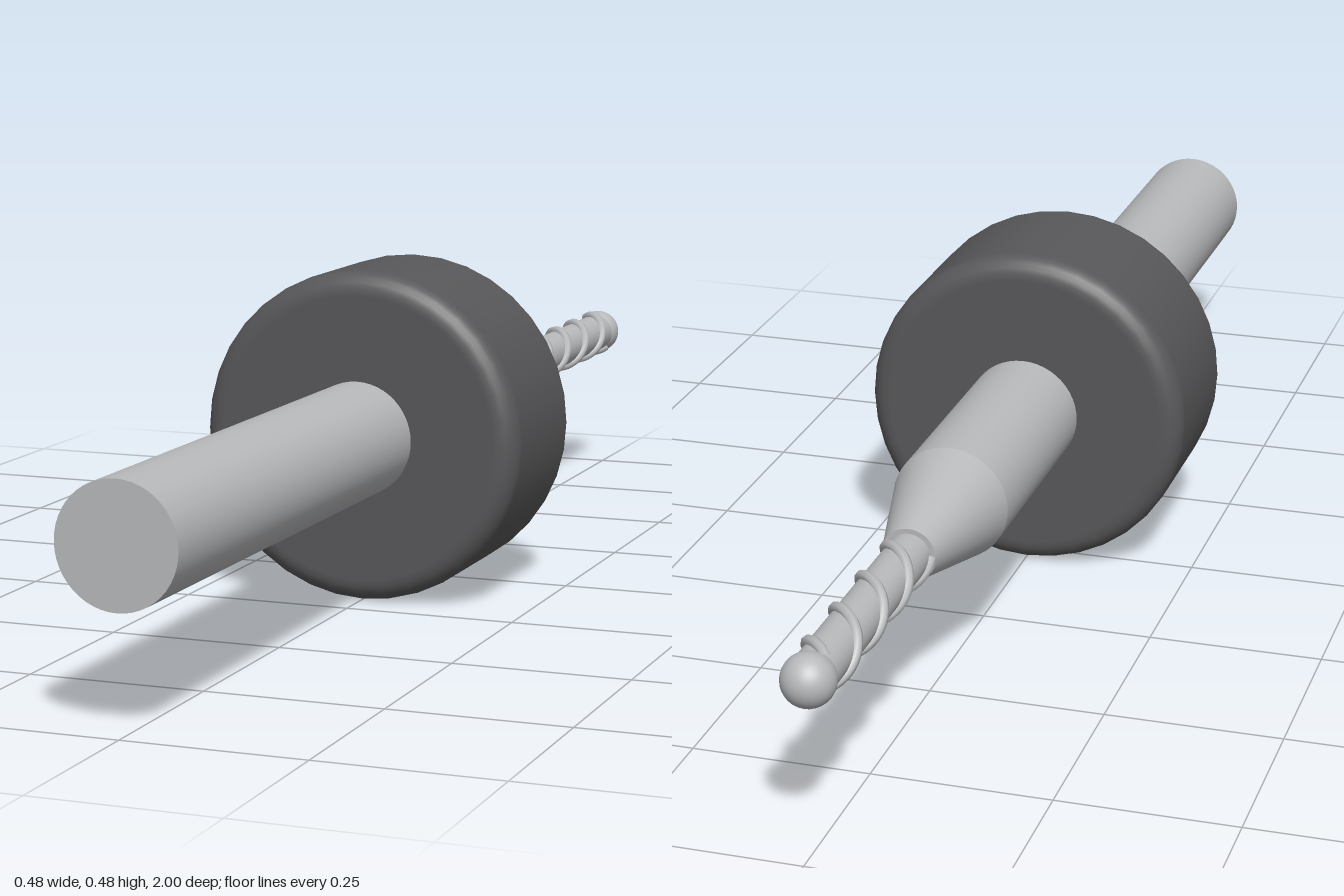
import * as THREE from 'three';

export function createModel() {
  const steel = new THREE.MeshStandardMaterial({ color: 0xb8b9bb });
  steel.name = 'steel';
  const plastic = new THREE.MeshStandardMaterial({ color: 0x58585a });
  plastic.name = 'dark plastic';

  // The tool is built along +y, then laid down so its tip points to -z
  const tool = new THREE.Group();
  tool.name = 'endMill';
  tool.rotation.x = -Math.PI / 2;
  tool.position.y = 0.242;

  const add = (name, geometry, material, y = 0) => {
    const mesh = new THREE.Mesh(geometry, material);
    mesh.name = name;
    mesh.position.y = y;
    tool.add(mesh);
    return mesh;
  };
  const rod = (name, y0, y1, r0, r1) =>
    add(name, new THREE.CylinderGeometry(r1, r0, y1 - y0, 48), steel, (y0 + y1) / 2);

  // Shank, taper and cutter core
  rod('shank', -1, 0.4, 0.083, 0.083);
  rod('taper', 0.4, 0.58, 0.083, 0.038);
  rod('cutterCore', 0.57, 0.965, 0.031, 0.031);
  add('ballTip', new THREE.SphereGeometry(0.036, 32, 20), steel, 0.964);

  // Depth collar with rounded rims
  const R = 0.241, y0 = -0.21, y1 = 0.05, bevel = 0.03;
  const profile = [new THREE.Vector2(0.07, y0), new THREE.Vector2(R - bevel - 0.004, y0)];
  for (const [cy, start] of [[y0 + bevel, -Math.PI / 2], [y1 - bevel, 0]]) {
    for (let i = 0; i <= 6; i++) {
      const a = start + (i / 6) * Math.PI / 2;
      profile.push(new THREE.Vector2(R - bevel + bevel * Math.cos(a), cy + bevel * Math.sin(a)));
    }
  }
  profile.push(new THREE.Vector2(R - bevel - 0.004, y1), new THREE.Vector2(0.07, y1));
  add('collar', new THREE.LatheGeometry(profile, 36), plastic);

  // Two raised cutting edges winding round the core
  const pitch = 0.2, from = 0.58, to = 0.95;
  for (let k = 0; k < 2; k++) {
    const points = [];
    for (let i = 0; i <= 40; i++) {
      const y = from + (to - from) * i / 40;
      const a = k * Math.PI + (y - from) / pitch * Math.PI * 2;
      points.push(new THREE.Vector3(0.031 * Math.cos(a), y, -0.031 * Math.sin(a)));
    }
    // Local -z becomes world -y once laid down, so mirror to keep the twist
    points.forEach((p) => { p.z = -p.z; });
    const path = new THREE.CatmullRomCurve3(points);
    add('cuttingEdge' + (k + 1), new THREE.TubeGeometry(path, 100, 0.008, 8), steel);
  }

  const model = new THREE.Group();
  model.name = 'ballEndMill';
  model.add(tool);
  return model;
}
